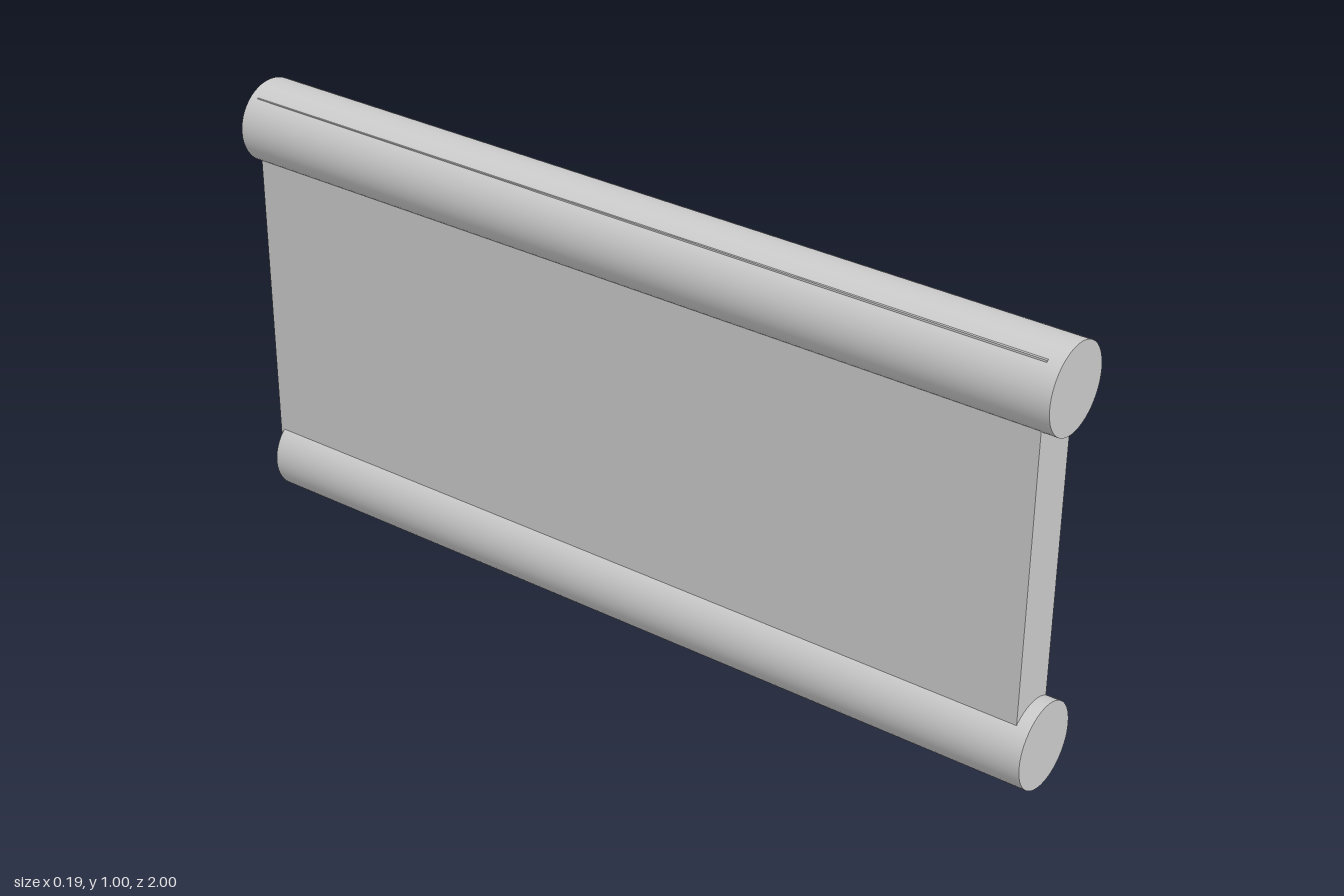
import * as THREE from 'three';

const material = new THREE.MeshStandardMaterial({ color: 0xcccccc });

export function createModel() {
  const group = new THREE.Group();
  const add = (name, geometry) => {
    const mesh = new THREE.Mesh(geometry, material);
    mesh.name = name;
    group.add(mesh);
    return mesh;
  };

  // Rectangle in the side plane: z from front to back, y from bottom to top
  const trace = (path, [front, back, bottom, top]) => {
    path.moveTo(-front, bottom);
    path.lineTo(-back, bottom);
    path.lineTo(-back, top);
    path.lineTo(-front, top);
    path.closePath();
    return path;
  };

  // Board of that outline with window holes, spanning x0..x1
  const board = (name, rect, holes, x0, x1) => {
    const shape = trace(new THREE.Shape(), rect);
    for (const hole of holes) shape.holes.push(trace(new THREE.Path(), hole));
    const geometry = new THREE.ExtrudeGeometry(shape, { depth: x1 - x0, bevelEnabled: false });
    geometry.rotateY(Math.PI / 2).translate(x0, 0, 0);
    return add(name, geometry);
  };

  // Round rail between two end centres
  const rail = (name, front, back) => {
    const a = new THREE.Vector3(...front), b = new THREE.Vector3(...back);
    const dir = b.clone().sub(a);
    const mesh = add(name, new THREE.CylinderGeometry(0.094, 0.094, dir.length(), 48));
    mesh.position.copy(a).add(b).multiplyScalar(0.5);
    mesh.quaternion.setFromUnitVectors(new THREE.Vector3(0, 1, 0), dir.normalize());
  };

  rail('topRail', [0, 0.91, 1], [-0.002, 0.911, -1]);
  rail('bottomRail', [0, 0.118, 1], [0, 0.097, -0.97]);

  // Framed windows
  const frames = [
    { outer: [0.905, 0.545, 0.23, 0.845], hole: [0.84, 0.615, 0.355, 0.74] },
    { outer: [0.395, 0.045, 0.24, 0.845], hole: [0.33, 0.11, 0.36, 0.735] },
    { outer: [-0.11, -0.465, 0.235, 0.845], hole: [-0.18, -0.395, 0.365, 0.73] },
  ];
  const holes = frames.map((f) => f.hole);
  for (const f of frames) board('windowFrame', f.outer, [f.hole], 0.048, 0.066);

  // Wall layers, stepped at the back end; the last one closes the windows
  board('outerWall', [0.97, -0.86, 0.12, 0.9], holes, 0.011, 0.048);
  board('middleWall', [0.97, -0.905, 0.12, 0.9], holes, -0.025, 0.011);
  board('backingWall', [0.97, -0.98, 0.1, 0.985], [], -0.062, -0.025);

  return group;
}
